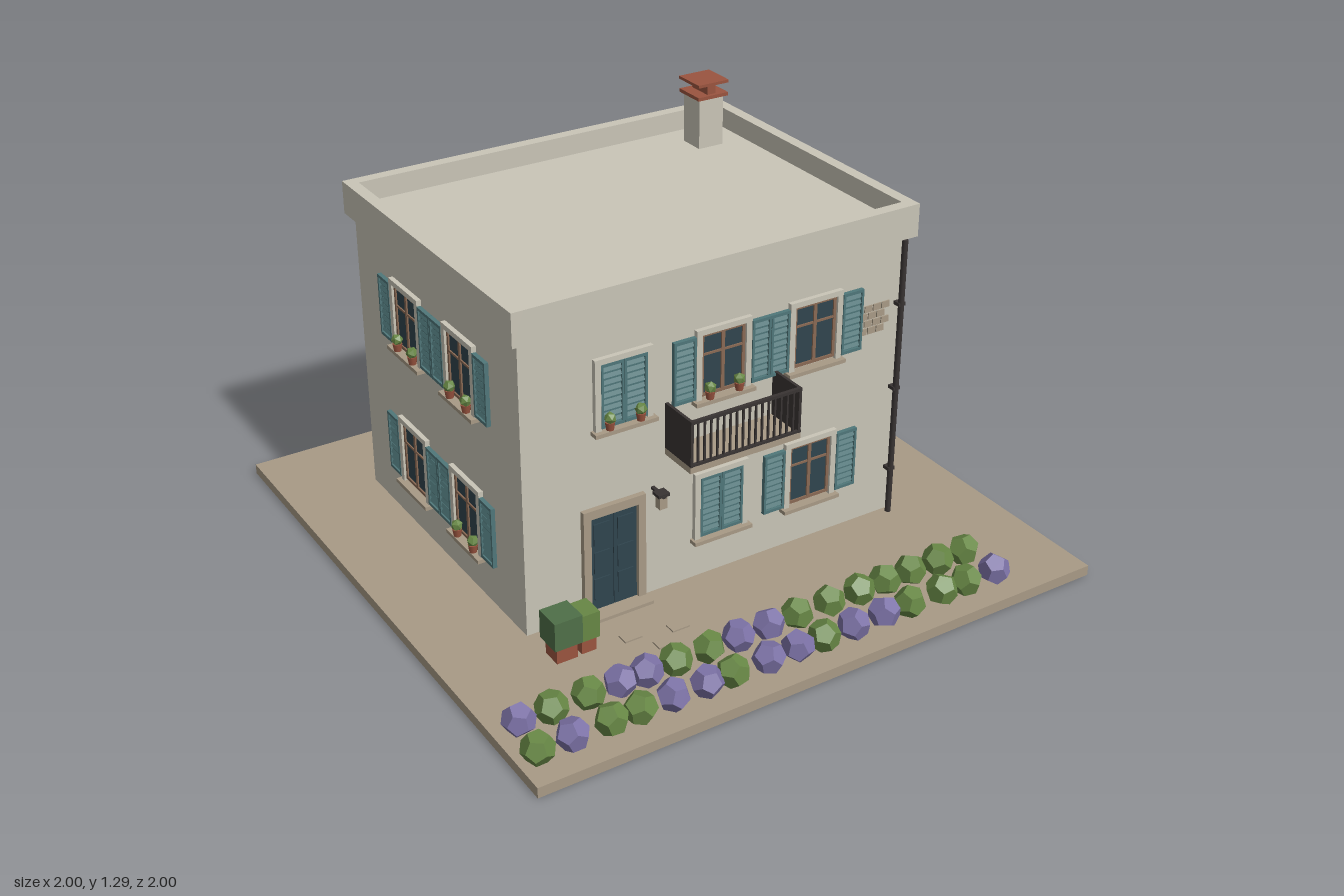
import * as THREE from 'three';

const mat = (name, color) => Object.assign(new THREE.MeshStandardMaterial({ color }), { name });
const M = {
  plaster: mat('plaster', 0xc9c5b7),
  stone: mat('stone', 0xa89a86),
  teal: mat('teal paint', 0x50777a),
  green: mat('dark green', 0x4f6f48),
  glass: mat('dark glass', 0x30454e),
  wood: mat('window wood', 0x8a6a54),
  iron: mat('iron', 0x393433),
  clay: mat('terracotta', 0x9a543f),
  leaf: mat('leaf green', 0x678745),
  lavender: mat('lavender', 0x7c72a6),
};
for (const m of [M.leaf, M.lavender]) m.flatShading = true;

// Box given by its centre and size
function box(parent, name, m, x, y, z, w, h, d) {
  const mesh = new THREE.Mesh(new THREE.BoxGeometry(w, h, d), m);
  mesh.position.set(x, y, z);
  mesh.name = name;
  parent.add(mesh);
  return mesh;
}

function group(parent, name, x = 0, y = 0, z = 0, ry = 0) {
  const g = new THREE.Group();
  g.name = name;
  g.position.set(x, y, z);
  g.rotation.y = ry;
  parent.add(g);
  return g;
}

// Small seeded random numbers for the plants
let seed = 7;
const rnd = () => (seed = (seed * 16807) % 2147483647) / 2147483647;

function bush(parent, name, m, x, y, z, r, detail = 1) {
  const mesh = new THREE.Mesh(new THREE.DodecahedronGeometry(r, 0), m);
  if (detail === 0) mesh.geometry = new THREE.IcosahedronGeometry(r, 0);
  mesh.position.set(x, y, z);
  mesh.rotation.set(rnd() * 6, rnd() * 6, rnd() * 6);
  mesh.name = name;
  parent.add(mesh);
}

// Louvred shutter leaf: backing, border and tilted slats
function shutter(parent, m, x, w = 0.078, z = 0.006) {
  const g = group(parent, 'shutter', x, 0, z);
  const h = 0.21;
  box(g, 'shutterBack', m, 0, 0, 0, w, h, 0.006);
  for (const s of [-1, 1]) {
    box(g, 'shutterStile', m, s * (w / 2 - 0.004), 0, 0.006, 0.008, h, 0.01);
    box(g, 'shutterRail', m, 0, s * (h / 2 - 0.005), 0.006, w, 0.01, 0.01);
  }
  for (let i = 0; i < 9; i++) {
    box(g, 'slat', m, 0, -0.084 + i * 0.021, 0.005, w - 0.014, 0.013, 0.003).rotation.x = -0.45;
  }
}

// Window styles: 'closed', 'open' or 'half'
function windowUnit(wall, x, y, style, m, pots = false) {
  const g = group(wall, 'window', x, y, 0);
  for (const s of [-1, 1]) box(g, 'surroundSide', M.plaster, s * 0.089, 0.005, 0.005, 0.02, 0.235, 0.022);
  box(g, 'surroundTop', M.plaster, 0, 0.114, 0.005, 0.198, 0.018, 0.022);
  box(g, 'sill', M.stone, 0, -0.118, 0.012, 0.215, 0.013, 0.04);
  if (style === 'closed') {
    for (const s of [-1, 1]) shutter(g, m, s * 0.0395);
  } else {
    box(g, 'glass', M.glass, 0, 0, 0.001, 0.158, 0.21, 0.004);
    for (const s of [-1, 1]) {
      box(g, 'frameSide', M.wood, s * 0.074, 0, 0.004, 0.01, 0.21, 0.008);
      box(g, 'frameRail', M.wood, 0, s * 0.1, 0.004, 0.158, 0.01, 0.008);
    }
    box(g, 'mullion', M.wood, 0, 0, 0.004, 0.012, 0.21, 0.008);
    box(g, 'transom', M.wood, 0, 0.035, 0.004, 0.158, 0.007, 0.007);
    shutter(g, m, 0.14);
    shutter(g, m, style === 'open' ? -0.14 : 0.0395);
  }
  if (pots) for (const s of [-1, 1]) {
    const pot = new THREE.Mesh(new THREE.CylinderGeometry(0.016, 0.012, 0.026, 10), M.clay);
    pot.position.set(s * 0.053, -0.098, 0.02);
    pot.name = 'flowerPot';
    g.add(pot);
    bush(g, 'potPlant', M.leaf, s * 0.053, -0.073, 0.02, 0.02, 0);
  }
}

// Patch of exposed masonry, brick by brick
function masonry(wall, x, y, w, rows) {
  const g = group(wall, 'exposedStone', x, y, 0);
  for (let r = 0; r < rows; r++) {
    const shift = (r % 2) * 0.018 - 0.009;
    for (let i = 0; i < 3; i++) {
      box(g, 'stoneBlock', M.stone, (i - 1) * w / 3 + shift, (r - (rows - 1) / 2) * 0.026, 0.001, w / 3 - 0.004, 0.022, 0.007);
    }
  }
}

export function createModel() {
  const root = new THREE.Group();
  root.name = 'townHouse';
  box(root, 'ground', M.stone, 0, 0.0175, 0, 2, 0.035, 2);

  // Walls, flat roof and parapet
  box(root, 'walls', M.plaster, 0, 0.535, -0.155, 1.38, 1.0, 1.07);
  box(root, 'roof', M.plaster, 0, 1.04, -0.157, 1.4, 0.04, 1.09);
  for (const s of [-1, 1]) {
    box(root, 'parapetSide', M.plaster, s * 0.695, 1.075, -0.157, 0.04, 0.11, 1.116);
    box(root, 'parapetEnd', M.plaster, 0, 1.075, -0.157 + s * 0.538, 1.35, 0.11, 0.04);
  }

  // Chimney with tiled cap
  const chimney = group(root, 'chimney', 0.537, 0, -0.537);
  box(chimney, 'chimneyStack', M.plaster, 0, 1.145, 0, 0.095, 0.18, 0.095);
  box(chimney, 'chimneyPlate', M.clay, 0, 1.241, 0, 0.118, 0.012, 0.118);
  box(chimney, 'chimneyFlue', M.clay, 0, 1.264, 0, 0.032, 0.036, 0.092);
  box(chimney, 'chimneyCap', M.clay, 0, 1.286, 0, 0.12, 0.01, 0.12);

  // Wall frames: local x runs to the viewer's right, z points outwards
  const front = group(root, 'frontWall', 0, 0, 0.38);
  const right = group(root, 'sideWallA', 0.69, 0, 0, Math.PI / 2);
  const back = group(root, 'backWall', 0, 0, -0.69, Math.PI);
  const left = group(root, 'sideWallB', -0.69, 0, 0, -Math.PI / 2);
  const up = 0.782, low = 0.29;

  windowUnit(front, -0.35, up, 'closed', M.teal, true);
  windowUnit(front, 0, up, 'open', M.teal, true);
  windowUnit(front, 0.34, up, 'open', M.teal);
  windowUnit(front, 0, low, 'closed', M.teal);
  windowUnit(front, 0.34, low, 'open', M.teal);
  masonry(front, 0.575, 0.765, 0.1, 4);

  windowUnit(right, -0.03, up, 'closed', M.green);
  windowUnit(right, 0.33, up, 'open', M.green);
  windowUnit(right, -0.03, low, 'half', M.teal, true);
  windowUnit(right, 0.33, low, 'closed', M.green);
  masonry(right, -0.28, 0.815, 0.11, 5);

  windowUnit(back, -0.35, up, 'open', M.green);
  windowUnit(back, 0, up, 'closed', M.teal, true);
  windowUnit(back, 0.34, up, 'open', M.green);
  windowUnit(back, -0.35, low, 'half', M.green);
  windowUnit(back, 0, low, 'half', M.teal, true);
  windowUnit(back, 0.34, low, 'closed', M.teal);
  masonry(back, 0.16, 0.52, 0.16, 3);
  masonry(back, 0.48, 0.57, 0.09, 3);

  windowUnit(left, -0.33, up, 'open', M.teal, true);
  windowUnit(left, 0.03, up, 'open', M.teal, true);
  windowUnit(left, -0.33, low, 'open', M.teal);
  windowUnit(left, 0.03, low, 'open', M.teal, true);

  // Front door with stone surround
  const door = group(front, 'frontDoor', -0.388, 0, 0);
  for (const s of [-1, 1]) {
    box(door, 'doorJamb', M.stone, s * 0.096, 0.222, 0.006, 0.026, 0.375, 0.025);
    box(door, 'doorLeaf', M.glass, s * 0.0415, 0.207, 0.002, 0.081, 0.345, 0.008);
    for (const y of [0.12, 0.215, 0.315]) box(door, 'doorPanel', M.glass, s * 0.0415, y, 0.007, 0.055, 0.075, 0.006);
  }
  box(door, 'doorLintel', M.stone, 0, 0.395, 0.006, 0.218, 0.03, 0.025);
  box(door, 'doorStep', M.stone, 0, 0.04, 0.03, 0.22, 0.012, 0.06);

  // Wall lantern
  const lantern = group(front, 'lantern', -0.245, 0, 0);
  box(lantern, 'lanternArm', M.iron, 0, 0.412, 0.035, 0.012, 0.008, 0.07);
  box(lantern, 'lanternTop', M.iron, 0, 0.416, 0.05, 0.04, 0.01, 0.036);
  box(lantern, 'lanternBody', M.stone, 0, 0.389, 0.05, 0.026, 0.044, 0.026);

  // Balcony
  const balcony = group(front, 'balcony');
  box(balcony, 'balconySlab', M.stone, 0, 0.525, 0.07, 0.4, 0.022, 0.14);
  for (const s of [-1, 1]) box(balcony, 'balconySide', M.iron, s * 0.195, 0.612, 0.07, 0.01, 0.155, 0.14);
  box(balcony, 'topRail', M.iron, 0, 0.685, 0.136, 0.4, 0.01, 0.012);
  box(balcony, 'bottomRail', M.iron, 0, 0.54, 0.136, 0.4, 0.008, 0.01);
  for (let i = 1; i < 17; i++) box(balcony, 'baluster', M.iron, -0.195 + i * 0.39 / 17, 0.612, 0.136, 0.006, 0.15, 0.006);

  // Rain pipe
  const pipe = new THREE.Mesh(new THREE.CylinderGeometry(0.01, 0.01, 0.985, 10), M.iron);
  pipe.position.set(0.665, 0.528, 0.402);
  pipe.name = 'rainPipe';
  root.add(pipe);
  for (const y of [0.2, 0.5, 0.8]) box(root, 'pipeBracket', M.iron, 0.665, y, 0.393, 0.026, 0.012, 0.03);

  // Planters with clipped hedges
  box(root, 'planter', M.clay, -0.648, 0.063, 0.517, 0.07, 0.056, 0.068);
  box(root, 'planterHedge', M.green, -0.648, 0.138, 0.517, 0.094, 0.096, 0.092);
  box(root, 'planter', M.clay, -0.571, 0.06, 0.517, 0.05, 0.05, 0.06);
  box(root, 'planterHedge', M.leaf, -0.571, 0.13, 0.517, 0.064, 0.09, 0.08);

  // Paving stones by the door
  for (const [x, z] of [[-0.43, 0.55], [-0.36, 0.63], [-0.28, 0.58]]) box(root, 'pavingStone', M.stone, x, 0.037, z, 0.06, 0.006, 0.04);

  // Two rows of round shrubs; letters give leaf or lavender
  const rows = [
    [0.77, 'PGGPPGGPPGGGGGGG', [-0.93, -0.825, -0.705, -0.6, -0.51, -0.41, -0.295, -0.19, -0.08, 0.025, 0.145, 0.26, 0.36, 0.46, 0.57, 0.675]],
    [0.905, 'GPGGPPGPPGPPGGGP', [-0.945, -0.835, -0.71, -0.615, -0.505, -0.39, -0.3, -0.175, -0.07, 0.025, 0.135, 0.25, 0.35, 0.475, 0.57, 0.685]],
  ];
  for (const [z, kinds, xs] of rows) {
    xs.forEach((x, i) => bush(root, 'shrub', kinds[i] === 'P' ? M.lavender : M.leaf, x, 0.083, z, 0.052));
  }
  return root;
}
